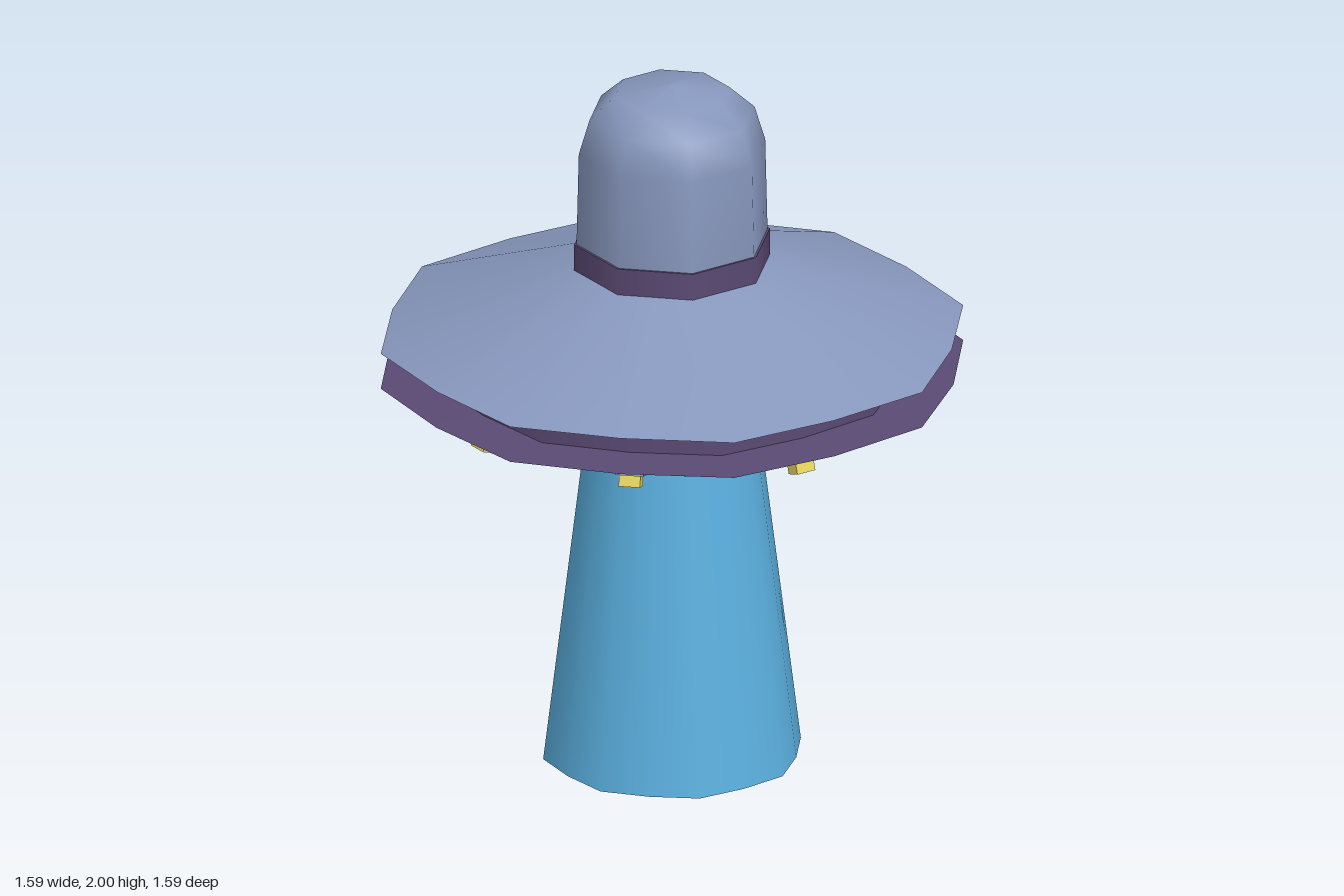
import * as THREE from 'three';

const material = (name, color, side = THREE.FrontSide) => {
  const m = new THREE.MeshStandardMaterial({ color, side });
  m.name = name;
  return m;
};

// Smooth 16-sided strip. Points are [radius at the eight flats, radius at the eight corners, y].
// List them bottom to top, or outwards for a face that looks down.
function ring(name, mat, points) {
  const geo = new THREE.LatheGeometry(points.map(([, c, y]) => new THREE.Vector2(c, y)), 16);
  const pos = geo.attributes.position;
  for (let i = 0; i <= 16; i += 2) {
    points.forEach(([flat, corner], j) => {
      const k = i * points.length + j;
      const s = corner > 0 ? flat / corner : 1;
      pos.setX(k, pos.getX(k) * s);
      pos.setZ(k, pos.getZ(k) * s);
    });
  }
  const mesh = new THREE.Mesh(geo, mat);
  mesh.name = name;
  return mesh;
}

// Smooth octagonal strip with flats facing the axes; points are [half width, y].
function octagon(name, mat, points) {
  const geo = new THREE.LatheGeometry(
    points.map(([w, y]) => new THREE.Vector2(w / Math.cos(Math.PI / 8), y)), 8, Math.PI / 8);
  const mesh = new THREE.Mesh(geo, mat);
  mesh.name = name;
  return mesh;
}

export function createModel() {
  const hull = material('blue grey hull', 0x8797bd);
  const purple = material('dark purple trim', 0x5b4a74);
  const beamBlue = material('beam blue', 0x5bb0e0, THREE.DoubleSide);
  const yellow = material('lamp yellow', 0xe6d45c);
  const model = new THREE.Group();
  model.name = 'flyingSaucer';

  // Light beam, open at the bottom
  model.add(ring('beam', beamBlue, [[0.35, 0.365, 0], [0.24, 0.25, 0.93]]));

  // Lower bowl with a flat top ledge and a closed underside
  model.add(
    ring('bowlBottom', purple, [[0, 0, 0.927], [0.25, 0.265, 0.927]]),
    ring('bowl', purple, [[0.25, 0.265, 0.927], [0.36, 0.38, 1.02], [0.793, 0.825, 1.155]]),
    ring('bowlLedge', purple, [[0.793, 0.825, 1.155], [0.6, 0.64, 1.156]]),
    ring('middleBand', purple, [[0.638, 0.665, 1.155], [0.638, 0.665, 1.26]]),
  );

  // Upper disc
  model.add(
    ring('discUnderside', hull, [[0.6, 0.63, 1.26], [0.788, 0.825, 1.26]]),
    ring('disc', hull, [[0.788, 0.825, 1.26], [0.25, 0.27, 1.465]]),
  );

  // Collar and dome
  model.add(
    octagon('collar', purple, [[0.256, 1.46], [0.256, 1.54]]),
    octagon('collarTop', purple, [[0.256, 1.54], [0.23, 1.5401]]),
    octagon('dome', hull, [[0.25, 1.54], [0.244, 1.81], [0.216, 1.91], [0.15, 1.975], [0, 2]]),
  );

  // Eight lamps under the bowl, tilted to its slope
  const mountGeo = new THREE.BoxGeometry(0.08, 0.035, 0.07);
  const bulbGeo = new THREE.BoxGeometry(0.06, 0.04, 0.045);
  for (let i = 0; i < 8; i++) {
    const lamp = new THREE.Group();
    lamp.name = 'lamp';
    const mount = new THREE.Mesh(mountGeo, hull);
    mount.name = 'lampMount';
    const bulb = new THREE.Mesh(bulbGeo, yellow);
    bulb.name = 'lampBulb';
    bulb.position.y = -0.03;
    lamp.add(mount, bulb);
    lamp.position.set(0, 1.1, 0.62);
    lamp.rotation.x = -0.3;
    const arm = new THREE.Group();
    arm.name = 'lampArm';
    arm.rotation.y = (i * Math.PI) / 4;
    arm.add(lamp);
    model.add(arm);
  }
  return model;
}
